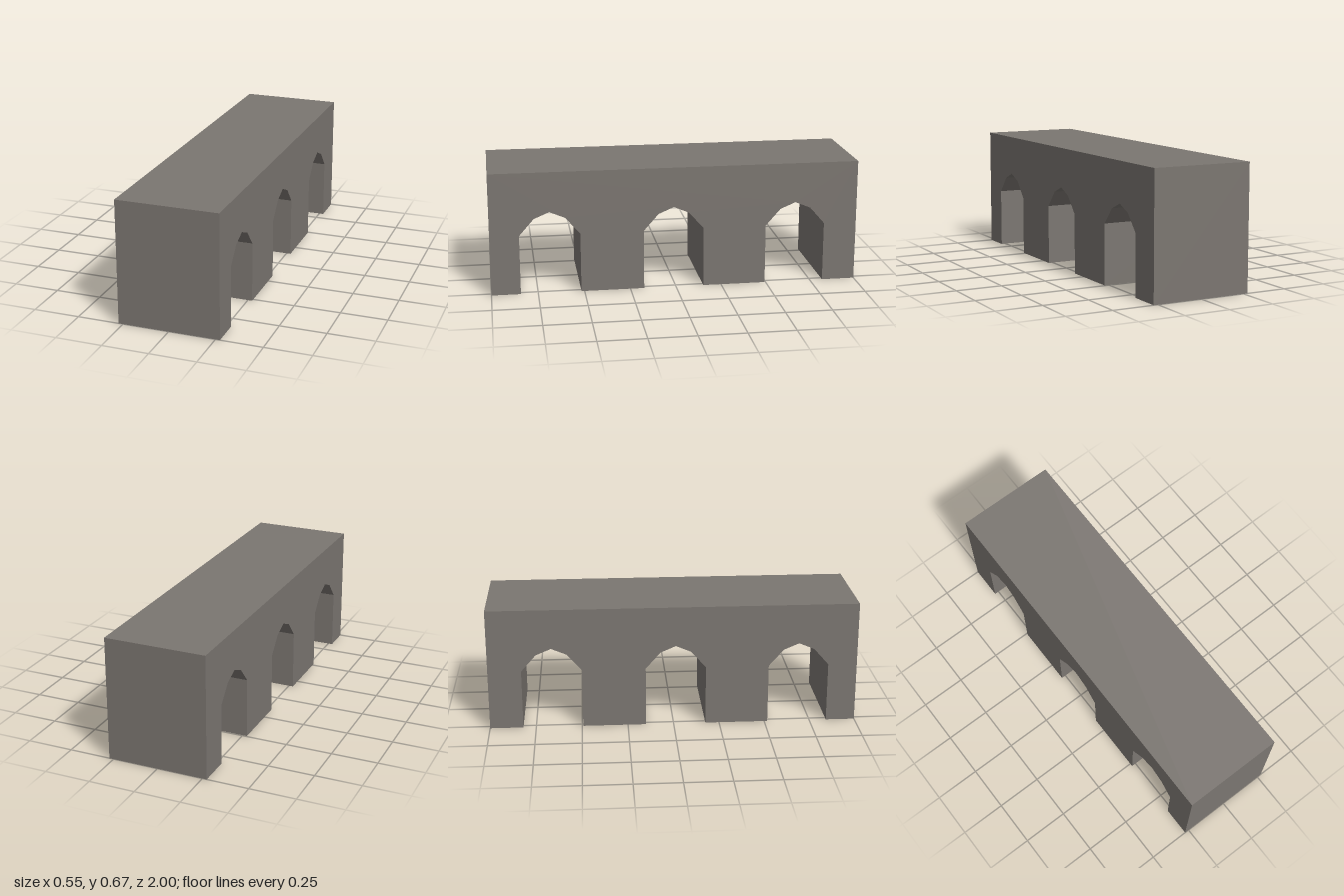
import * as THREE from 'three';

const WIDTH = 0.548, HEIGHT = 0.67, HALF_LENGTH = 1;
const ARCH_CENTRES = [-0.657, 0.012, 0.68];
// Faceted arch outline: offset from the arch centre, height
const ARCH = [[-0.163, 0], [-0.163, 0.326], [-0.083, 0.417], [0, 0.452], [0.083, 0.417], [0.163, 0.326], [0.163, 0]];

export function createModel() {
  const stone = new THREE.MeshStandardMaterial({ color: 0x7b7671 });
  stone.name = 'stone';

  // Side outline of the bridge, with three arches cut up from the base
  const outline = new THREE.Shape();
  outline.moveTo(-HALF_LENGTH, 0);
  for (const centre of ARCH_CENTRES) {
    for (const [offset, y] of ARCH) outline.lineTo(centre + offset, y);
  }
  outline.lineTo(HALF_LENGTH, 0);
  outline.lineTo(HALF_LENGTH, HEIGHT);
  outline.lineTo(-HALF_LENGTH, HEIGHT);
  outline.closePath();

  // Extrude across the width, then turn the length along z
  const geometry = new THREE.ExtrudeGeometry(outline, { depth: WIDTH, bevelEnabled: false });
  geometry.translate(0, 0, -WIDTH / 2);
  geometry.rotateY(-Math.PI / 2);

  const bridge = new THREE.Mesh(geometry, stone);
  bridge.name = 'archedBridge';

  const model = new THREE.Group();
  model.name = 'bridge';
  model.add(bridge);
  return model;
}
